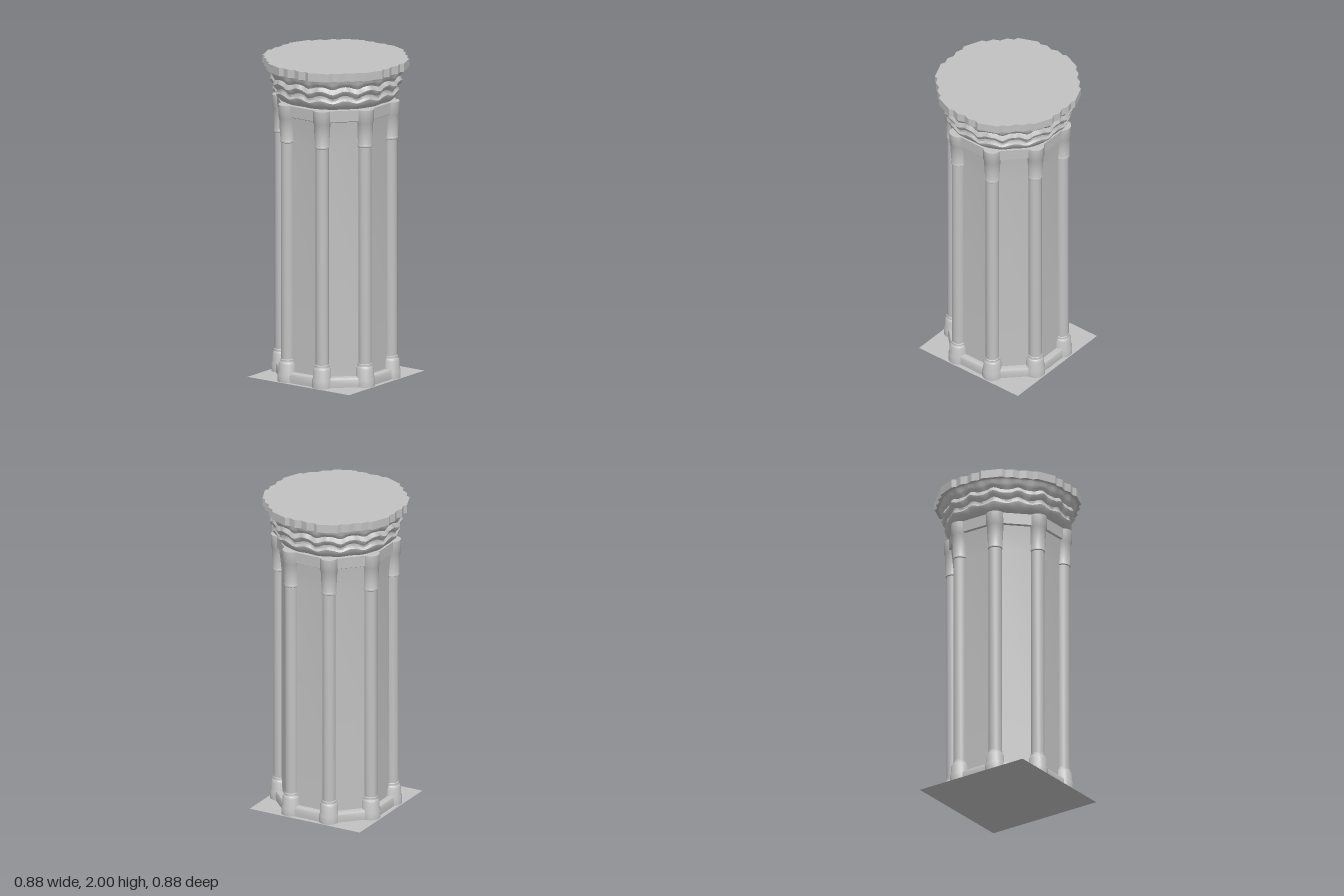
import * as THREE from 'three';
import { toCreasedNormals } from 'three/addons/utils/BufferGeometryUtils.js';

const stone = new THREE.MeshStandardMaterial({ color: 0xc2c2c2 });
stone.name = 'grey stone';
const stoneSheet = new THREE.MeshStandardMaterial({ color: 0xc2c2c2, side: THREE.DoubleSide });
stoneSheet.name = 'grey stone sheet';

const points = (list) => list.map(([r, y]) => new THREE.Vector2(r, y));

function addMesh(parent, name, geometry, material = stone) {
  const mesh = new THREE.Mesh(geometry, material);
  mesh.name = name;
  parent.add(mesh);
  return mesh;
}

// Eight-sided ring whose flat faces look along the axes; radii are apothems
function octagon(profile) {
  const k = 1 / Math.cos(Math.PI / 8);
  const scaled = profile.map(([r, y]) => [r * k, y]);
  return toCreasedNormals(new THREE.LatheGeometry(points(scaled), 8, Math.PI / 8), 0.6);
}

function round(profile) {
  return toCreasedNormals(new THREE.LatheGeometry(points(profile), 16), 0.65);
}

// Carved bell: a turned flare with lobes and rippling leaf tiers
function capitalGeometry() {
  const profile = points([
    [0.325, 1.745], [0.355, 1.755], [0.366, 1.77], [0.382, 1.787], [0.388, 1.805],
    [0.378, 1.82], [0.379, 1.835], [0.395, 1.85], [0.403, 1.868], [0.397, 1.882],
    [0.39, 1.895], [0.402, 1.91], [0.412, 1.925], [0.414, 1.94], [0.425, 1.955],
  ]);
  const geometry = new THREE.LatheGeometry(profile, 128);
  const pos = geometry.attributes.position;
  for (let i = 0; i < pos.count; i++) {
    const x = pos.getX(i), y = pos.getY(i), z = pos.getZ(i);
    const a = Math.atan2(x, z);
    const t = (y - 1.745) / 0.21;
    const fade = Math.sin(Math.PI * t);
    const lobe = 0.005 * Math.cos(8 * a + Math.PI) + 0.009 * t * fade * Math.cos(32 * a);
    const s = 1 + lobe / Math.hypot(x, z);
    pos.setXYZ(i, x * s, y + 0.011 * fade * Math.cos(16 * a), z * s);
  }
  return toCreasedNormals(geometry, 0.7);
}

// Top slab with notched edges, one eighth of the outline repeated
function abacusGeometry() {
  const eighth = [
    [0.437, -0.111], [0.425, -0.085], [0.44, -0.042], [0.425, 0],
    [0.44, 0.042], [0.425, 0.085], [0.437, 0.111],
  ];
  const outline = [];
  for (let i = 0; i < 8; i++) {
    for (const [x, y] of eighth) {
      outline.push(new THREE.Vector2(x, y).rotateAround(new THREE.Vector2(), i * Math.PI / 4));
    }
  }
  const geometry = new THREE.ExtrudeGeometry(new THREE.Shape(outline), { depth: 0.052, bevelEnabled: false });
  return geometry.rotateX(-Math.PI / 2).translate(0, 1.948, 0);
}

export function createModel() {
  const model = new THREE.Group();
  model.name = 'column';

  // Square sheet under the column
  addMesh(model, 'groundSheet', new THREE.PlaneGeometry(0.774, 0.774).rotateX(-Math.PI / 2), stoneSheet);

  // Octagonal core
  addMesh(model, 'plinth', octagon([[0.358, 0], [0.36, 0.045], [0.354, 0.058], [0.342, 0.063], [0.318, 0.063]]));
  addMesh(model, 'shaft', octagon([[0.32, 0], [0.32, 1.51], [0.338, 1.67]]));
  addMesh(model, 'neckBand', octagon([[0.336, 1.668], [0.35, 1.675], [0.352, 1.745], [0.32, 1.75]]));

  // Eight slender corner shafts with bases and caps
  const colonnette = round([[0.041, 0.1], [0.041, 1.54]]);
  const base = round([
    [0.062, 0], [0.062, 0.05], [0.056, 0.064], [0.055, 0.11], [0.049, 0.122],
    [0.045, 0.126], [0.045, 0.14], [0.04, 0.144],
  ]);
  const cap = round([
    [0.04, 1.506], [0.046, 1.511], [0.046, 1.521], [0.044, 1.524], [0.049, 1.6],
    [0.052, 1.662], [0.056, 1.67], [0.056, 1.745], [0, 1.75],
  ]);
  for (let i = 0; i < 8; i++) {
    const a = (i + 0.5) * Math.PI / 4;
    const corner = new THREE.Group();
    corner.name = 'cornerShaft' + (i + 1);
    corner.position.set(0.345 * Math.sin(a), 0, 0.345 * Math.cos(a));
    corner.rotation.y = a;
    addMesh(corner, 'colonnette', colonnette);
    addMesh(corner, 'colonnetteBase', base);
    addMesh(corner, 'colonnetteCap', cap);
    model.add(corner);
  }

  // Capital and top slab
  addMesh(model, 'capital', capitalGeometry());
  addMesh(model, 'abacus', abacusGeometry());
  return model;
}
